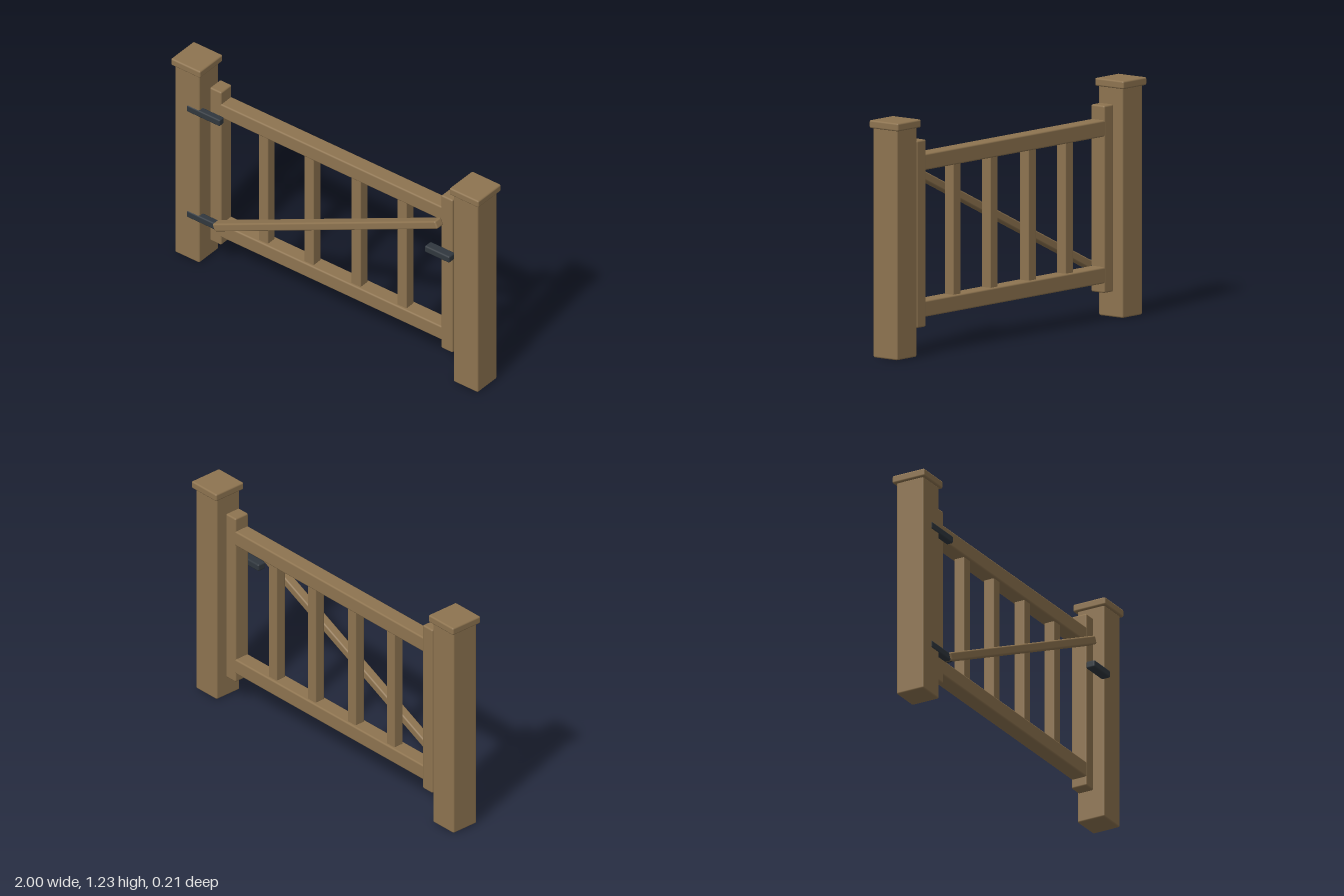
import * as THREE from 'three';
import { RoundedBoxGeometry } from 'three/addons/geometries/RoundedBoxGeometry.js';

export function createModel() {
  const gate = new THREE.Group();
  gate.name = 'gardenGate';
  const wood = new THREE.MeshStandardMaterial({ color: 0x8e7450 });
  wood.name = 'wood';
  const iron = new THREE.MeshStandardMaterial({ color: 0x30373e });
  iron.name = 'darkIron';

  // Soft-edged block given by its limits along x, y and z
  function block(name, material, [x0, x1], [y0, y1], [z0, z1], bevel = 0.009) {
    const geometry = new RoundedBoxGeometry(x1 - x0, y1 - y0, z1 - z0, 2, bevel);
    const mesh = new THREE.Mesh(geometry, material);
    mesh.name = name;
    mesh.position.set((x0 + x1) / 2, (y0 + y1) / 2, (z0 + z1) / 2);
    gate.add(mesh);
    return mesh;
  }
  const around = (centre, size) => [centre - size / 2, centre + size / 2];

  // Posts with caps, and the upright stiles of the gate
  for (const [side, s] of [['left', 1], ['right', -1]]) {
    block(side + 'Post', wood, around(s * 0.905, 0.16), [0, 1.195], [-0.09, 0.07]);
    block(side + 'PostCap', wood, around(s * 0.905, 0.19), [1.188, 1.23], [-0.107, 0.084]);
    block(side + 'Stile', wood, around(s * 0.752, 0.075), [0.14, 1.11], [-0.06, 0.03]);
  }

  // Horizontal rails
  block('topRail', wood, [-0.73, 0.73], [0.95, 1.035], [-0.059, 0.029]);
  block('bottomRail', wood, [-0.73, 0.73], [0.19, 0.275], [-0.059, 0.029]);

  // Balusters between the rails
  for (const x of [-0.453, -0.156, 0.15, 0.448]) {
    block('baluster', wood, around(x, 0.062), [0.26, 0.965], [-0.045, 0.015], 0.006);
  }

  // Diagonal brace on the front
  const brace = block('diagonalBrace', wood, around(0, 1.6), around(0.615, 0.045), [0.03, 0.083]);
  brace.rotation.z = THREE.MathUtils.degToRad(25);

  // Hinges and latch
  for (const y of [0.28, 0.95]) {
    block('hinge', iron, [-0.905, -0.69], around(y, 0.04), [0.035, 0.074], 0.008);
  }
  block('latch', iron, [0.667, 0.828], around(0.792, 0.04), [0.055, 0.107]);

  return gate;
}
